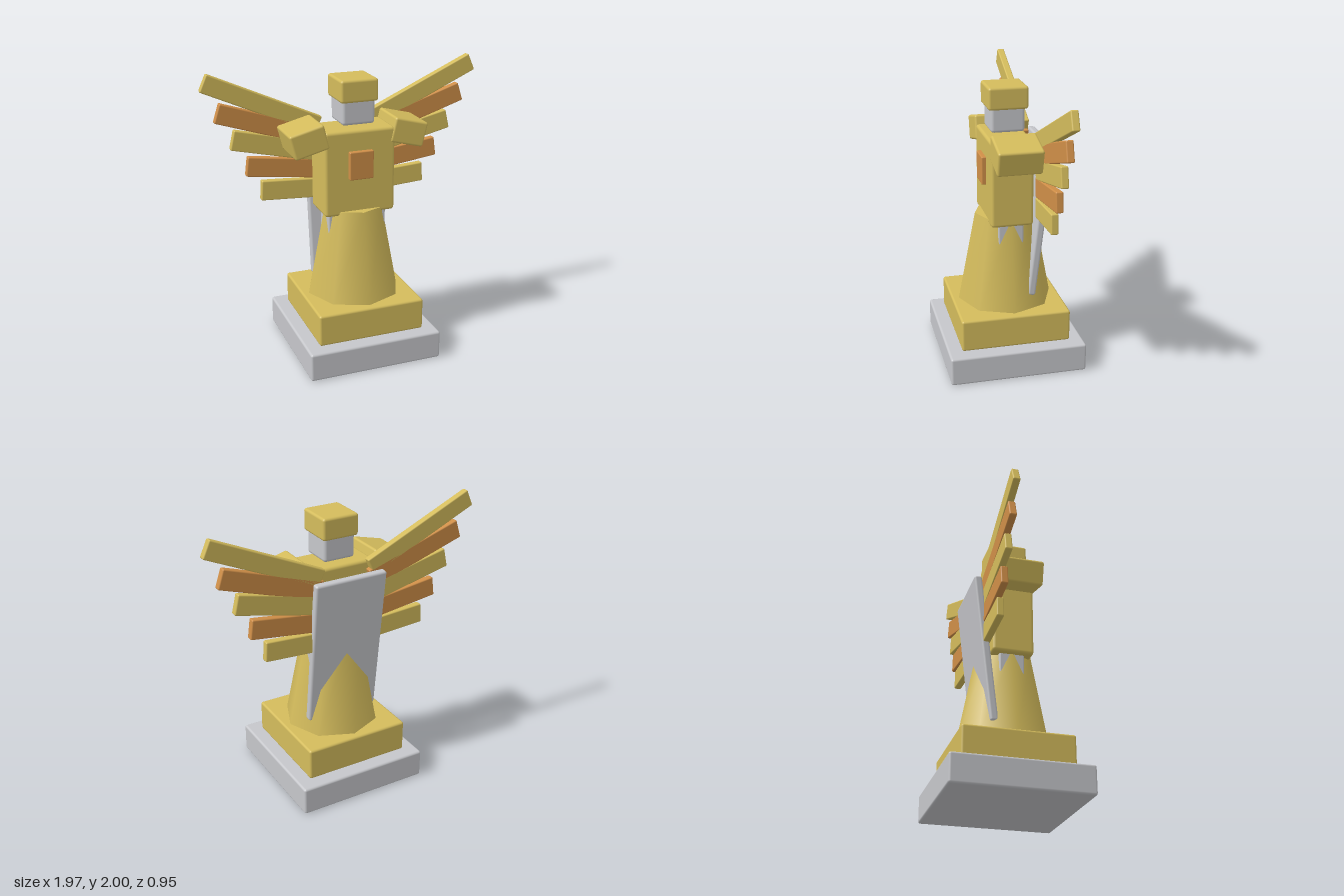
import * as THREE from 'three';
import { RoundedBoxGeometry } from 'three/addons/geometries/RoundedBoxGeometry.js';

const material = (name, color) => {
  const m = new THREE.MeshStandardMaterial({ color });
  m.name = name;
  return m;
};

export function createModel() {
  const gold = material('gold', 0xd4bc5c);
  const silver = material('silver', 0xc6c7cb);
  const copper = material('copper', 0xd08f48);
  const model = new THREE.Group();
  model.name = 'wingedStatue';

  // Softly bevelled block, placed by its centre
  const block = (name, mat, [w, h, d], [x, y, z], bevel = 0.016, parent = model) => {
    const mesh = new THREE.Mesh(new RoundedBoxGeometry(w, h, d, 2, bevel), mat);
    mesh.name = name;
    mesh.position.set(x, y, z);
    parent.add(mesh);
    return mesh;
  };

  // Stepped pedestal
  block('pedestalBase', silver, [0.95, 0.2, 0.95], [0, 0.1, 0]);
  block('pedestalStep', gold, [0.76, 0.225, 0.76], [0, 0.312, 0]);

  // Eight-sided robe
  const robe = new THREE.Mesh(new THREE.CylinderGeometry(0.208, 0.334, 0.65, 8), gold);
  robe.name = 'robe';
  robe.position.y = 0.735;
  model.add(robe);

  // Torso, chest plate and head
  block('torso', gold, [0.5, 0.59, 0.29], [0, 1.325, 0], 0.022);
  block('chestPlate', copper, [0.17, 0.195, 0.06], [0, 1.383, 0.145], 0.008);
  block('head', silver, [0.23, 0.2, 0.23], [0, 1.747, 0], 0.022);
  block('helmet', gold, [0.262, 0.152, 0.27], [0, 1.878, 0], 0.018);

  // Cape, leaning back at the top
  const cape = block('cape', silver, [0.53, 1.07, 0.055], [0, 1.045, -0.195], 0.016);
  cape.rotation.x = -0.115;

  // Feathers: outer lower corner, angle in degrees, height
  const feathers = [
    [0.99, 1.885, 24.3, 0.125],
    [0.905, 1.67, 18, 0.135],
    [0.805, 1.475, 13, 0.138],
    [0.705, 1.28, 7.5, 0.137],
    [0.605, 1.095, 3.5, 0.14],
  ];
  const innerX = 0.21;

  for (const side of [1, -1]) {
    const label = side > 0 ? 'left' : 'right';

    // Leg, showing at the top of the robe
    block(label + 'Leg', silver, [0.17, 0.66, 0.175], [side * 0.123, 0.75, 0], 0.012);

    // Sloping shoulder guard
    const shoulder = block(label + 'Shoulder', gold, [0.245, 0.172, 0.302], [side * 0.352, 1.568, 0], 0.016);
    shoulder.rotation.z = -side * 0.25;

    // Wing
    const wing = new THREE.Group();
    wing.name = label + 'Wing';
    model.add(wing);
    feathers.forEach(([x, y, degrees, height], i) => {
      const a = THREE.MathUtils.degToRad(degrees);
      const length = (x - innerX) / Math.cos(a);
      const cx = x - Math.cos(a) * length / 2 - Math.sin(a) * height / 2;
      const cy = y - Math.sin(a) * length / 2 + Math.cos(a) * height / 2;
      const feather = block('feather', i % 2 ? copper : gold, [length, height, 0.05],
        [side * cx, cy, -0.19], 0.009, wing);
      feather.rotation.z = side * a;
    });
  }
  return model;
}
